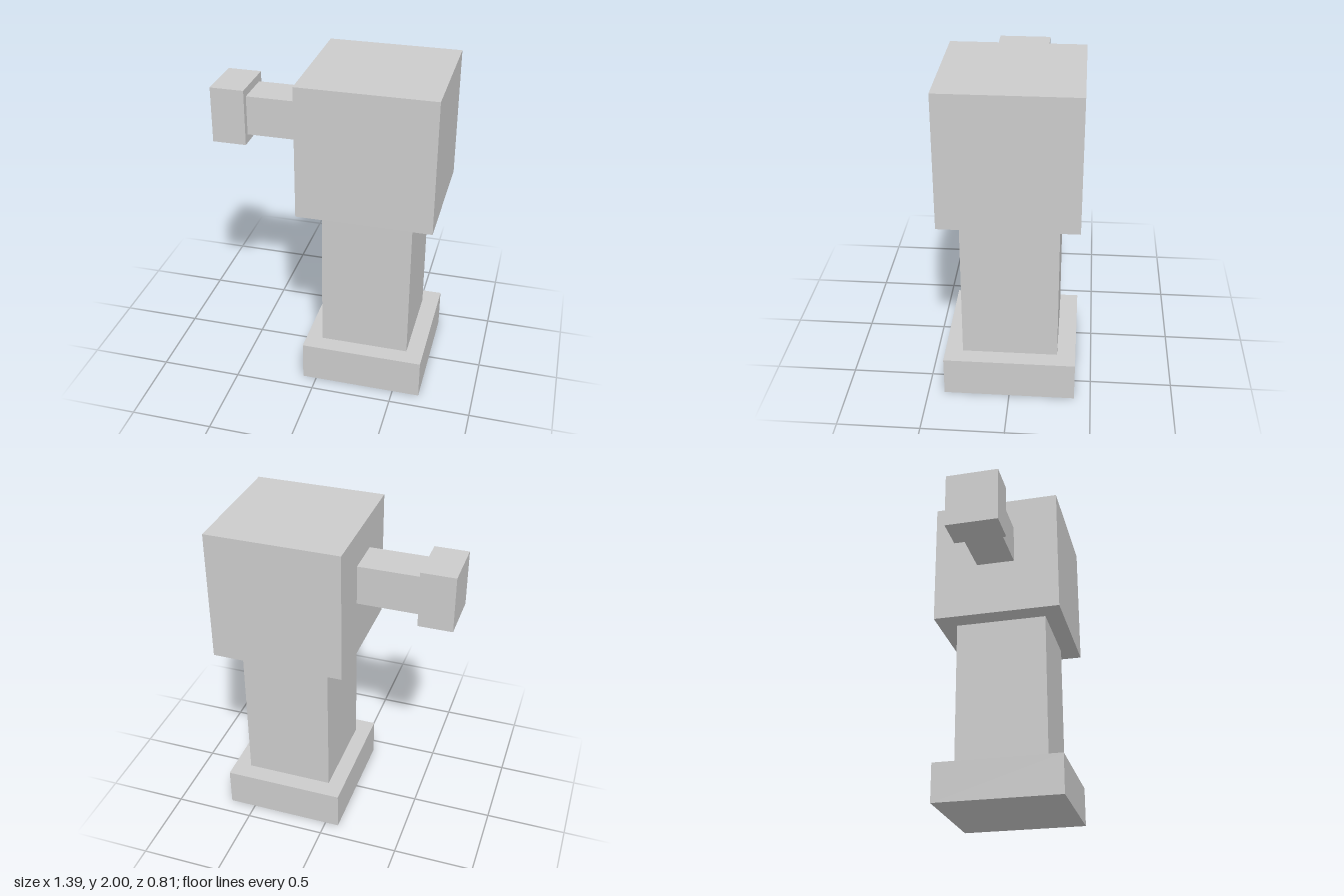
import * as THREE from 'three';

const material = new THREE.MeshStandardMaterial({ color: 0xcccccc, flatShading: true });

// Box given by its low and high corner on each axis
function block(name, [x0, x1], [y0, y1], [z0, z1]) {
  const mesh = new THREE.Mesh(new THREE.BoxGeometry(x1 - x0, y1 - y0, z1 - z0), material);
  mesh.position.set((x0 + x1) / 2, (y0 + y1) / 2, (z0 + z1) / 2);
  mesh.name = name;
  return mesh;
}

export function createModel() {
  const model = new THREE.Group();
  model.name = 'model';
  model.add(
    // Upright: foot, column and large cubic head
    block('base', [-0.086, 0.667], [0, 0.247], [-0.4, 0.4]),
    block('column', [0.014, 0.561], [0.247, 1.19], [-0.288, 0.292]),
    block('head', [-0.115, 0.695], [1.19, 2], [-0.405, 0.405]),
    // Side arm with its end block
    block('arm', [-0.492, -0.115], [1.545, 1.79], [-0.124, 0.12]),
    block('armEnd', [-0.7, -0.492], [1.492, 1.84], [-0.165, 0.16]),
  );
  return model;
}
